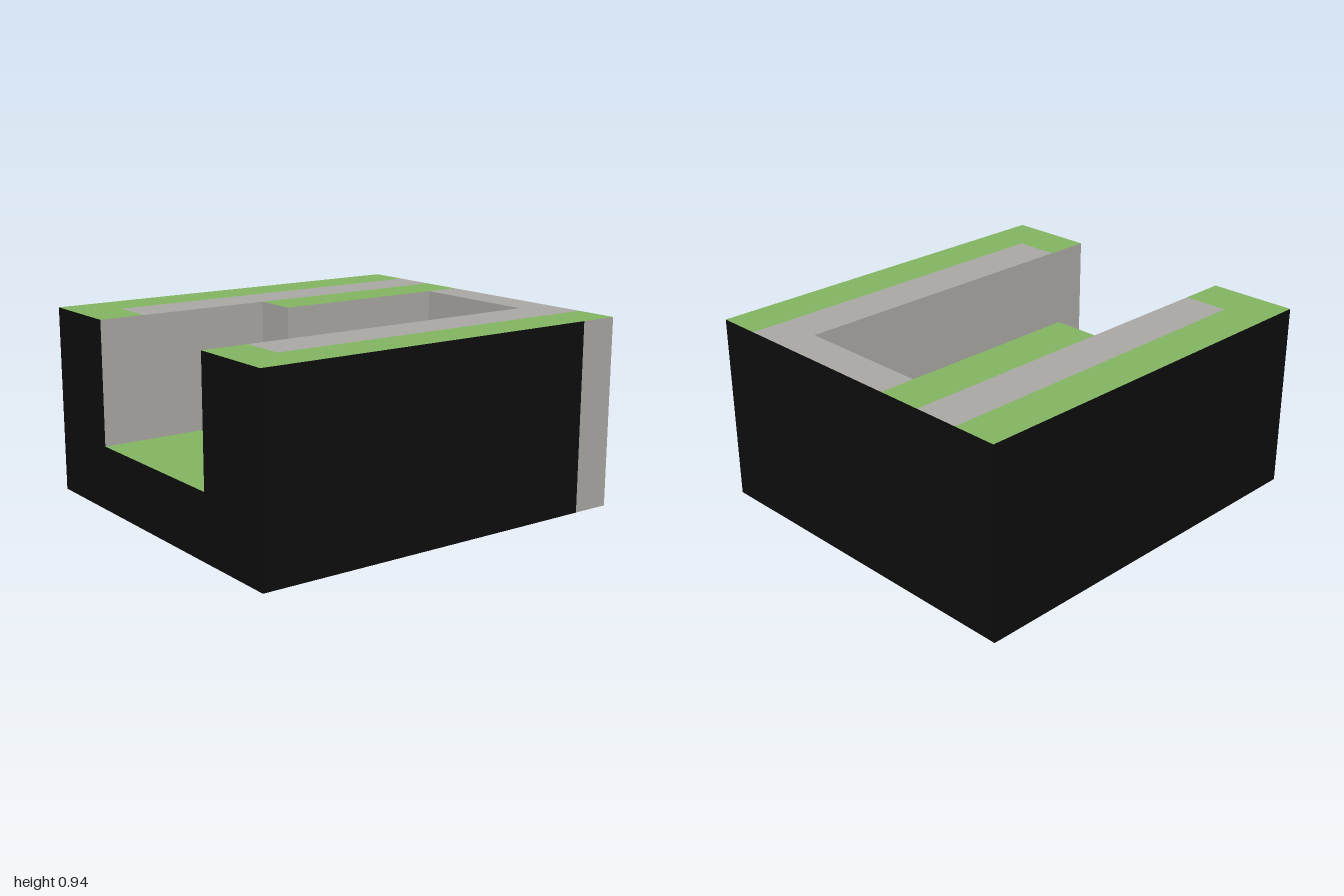
import * as THREE from 'three';

const W = 0.905, H = 0.935, FLOOR = 0.32;      // outer half width, height, pit floor
const PIT = 0.457, NARROW = -0.23;             // pit half width, left edge of narrowed part
const BACK = -0.82, NOTCH = 0.09, PATH = 0.685, PATH_END = 0.77;

export function createModel() {
  const mat = (name, color) => {
    const m = new THREE.MeshStandardMaterial({ color });
    m.name = name;
    return m;
  };
  const grass = mat('grass green', 0x82b562);
  const stone = mat('stone grey', 0xaaa8a4);
  const black = mat('black', 0x0d0d0d);

  const model = new THREE.Group();
  model.name = 'sunkenYard';

  const add = (name, geometry, material) => {
    const mesh = new THREE.Mesh(geometry, material);
    mesh.name = name;
    model.add(mesh);
    return mesh;
  };

  // Horizontal rectangle at height y, facing up (or down)
  const slab = (name, material, x0, x1, z0, z1, y, down = false) => {
    const g = new THREE.PlaneGeometry(x1 - x0, z1 - z0);
    g.rotateX(down ? Math.PI / 2 : -Math.PI / 2);
    g.translate((x0 + x1) / 2, y, (z0 + z1) / 2);
    add(name, g, material);
  };

  // Upright rectangle from point a to point b, running left to right as seen from outside
  const wall = (name, material, [ax, az], [bx, bz], y0) => {
    const g = new THREE.PlaneGeometry(Math.hypot(bx - ax, bz - az), H - y0);
    g.rotateY(Math.atan2(az - bz, bx - ax));
    g.translate((ax + bx) / 2, (y0 + H) / 2, (az + bz) / 2);
    add(name, g, material);
  };

  // Outer sides and underside
  wall('rightSide', black, [W, 1], [W, -0.805], 0);
  wall('rightSideStoneStrip', stone, [W, -0.805], [W, -1], 0);
  wall('backSide', black, [W, -1], [-W, -1], 0);
  wall('leftSide', black, [-W, -1], [-W, 1], 0);
  slab('underside', black, -W, W, -1, 1, 0, true);

  // Front face, cut open where the pit comes out
  const front = new THREE.Shape([
    [-W, 0], [W, 0], [W, H], [PIT, H], [PIT, FLOOR], [-PIT, FLOOR], [-PIT, H], [-W, H],
  ].map(([x, y]) => new THREE.Vector2(x, y)));
  add('frontFace', new THREE.ShapeGeometry(front).translate(0, 0, 1), black);

  // Pit walls
  const pit = [[-PIT, 1], [-PIT, NOTCH], [NARROW, NOTCH], [NARROW, BACK], [PIT, BACK], [PIT, 1]];
  for (let i = 0; i < pit.length - 1; i++) wall('pitWall', stone, pit[i], pit[i + 1], FLOOR);

  // Pit floor
  slab('pitFloorFront', grass, -PIT, PIT, NOTCH, 1, FLOOR);
  slab('pitFloorBack', grass, NARROW, PIT, BACK, NOTCH, FLOOR);

  // Grass on top
  for (const s of [-1, 1]) {
    const lo = Math.min(s * W, s * PATH), hi = Math.max(s * W, s * PATH);
    slab('grassBorder', grass, lo, hi, -1, 1, H);
    const a = Math.min(s * PATH, s * PIT), b = Math.max(s * PATH, s * PIT);
    slab('grassFront', grass, a, b, PATH_END, 1, H);
    slab('stonePath', stone, a, b, -1, PATH_END, H);
  }
  slab('grassLedge', grass, -PIT, NARROW, -1, NOTCH, H);
  slab('stonePathBack', stone, NARROW, PIT, -1, BACK, H);

  // Steps turning up the back corner: x0, x1, z0, z1, top
  const steps = [
    [0, 0.226, -0.593, -0.365, 0.44],
    [0, 0.226, BACK, -0.593, 0.595],
    [0.226, PIT, BACK, -0.593, 0.75],
  ];
  for (const [x0, x1, z0, z1, top] of steps) {
    const g = new THREE.BoxGeometry(x1 - x0, top - FLOOR, z1 - z0);
    g.translate((x0 + x1) / 2, (top + FLOOR) / 2, (z0 + z1) / 2);
    add('step', g, [stone, stone, grass, stone, stone, stone]);
  }

  return model;
}
